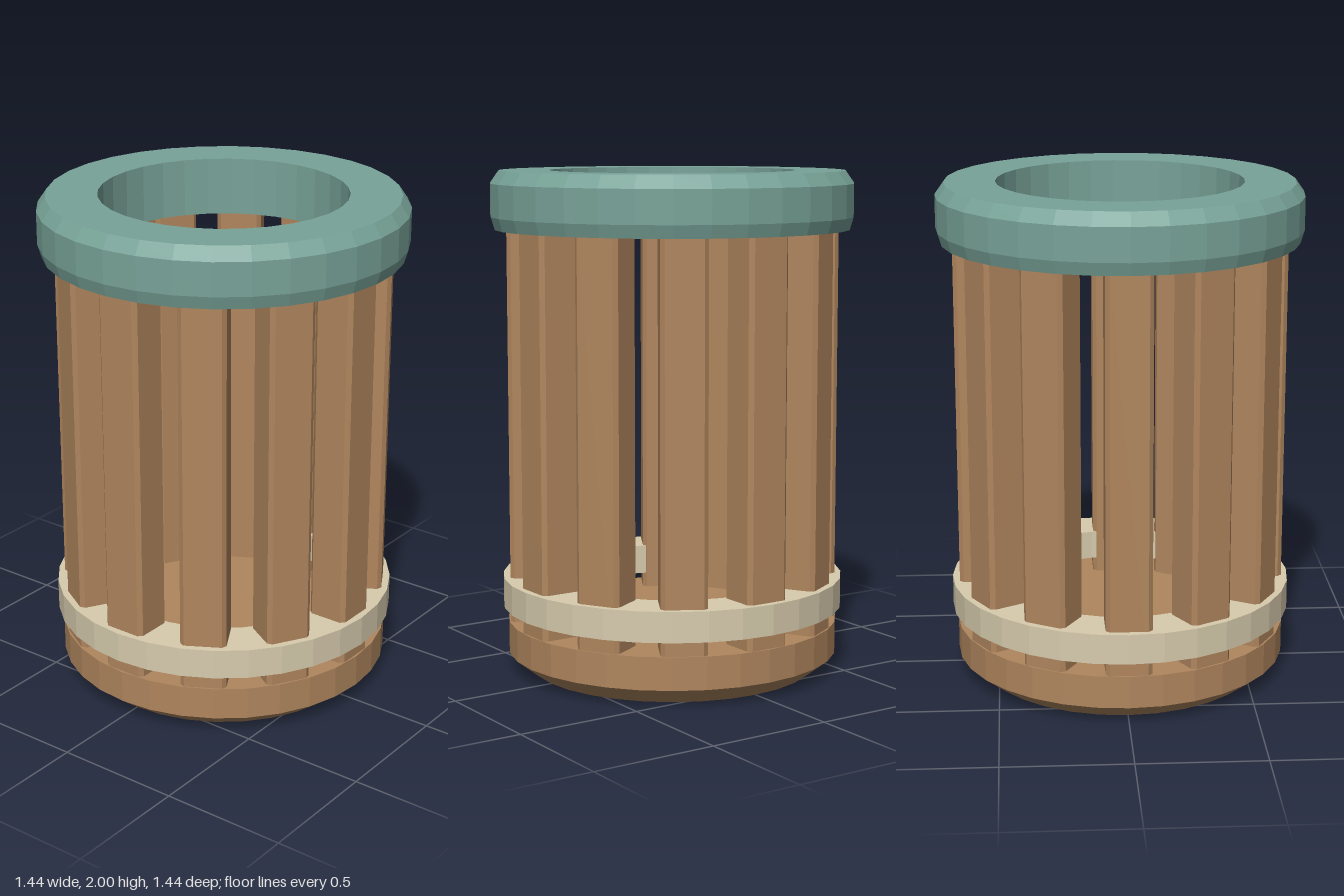
import * as THREE from 'three';

const SIDES = 32;
const SLATS = 12;

const paint = (color) => new THREE.MeshStandardMaterial({ color, flatShading: true });

// Turned part from [radius, height] points, listed bottom to top on the outside
function turned(name, points, material) {
  const profile = points.map(([r, y]) => new THREE.Vector2(r, y));
  const mesh = new THREE.Mesh(new THREE.LatheGeometry(profile, SIDES), material);
  mesh.name = name;
  return mesh;
}

// Upright slat with chamfered long edges; its outer face looks along +z
function slatGeometry(halfWidth, inner, outer, bottom, top, c) {
  const w = halfWidth;
  const outline = [
    [-w + c, -outer], [w - c, -outer], [w, -outer + c], [w, -inner - c],
    [w - c, -inner], [-w + c, -inner], [-w, -inner - c], [-w, -outer + c],
  ].map(([x, y]) => new THREE.Vector2(x, y));
  const geometry = new THREE.ExtrudeGeometry(new THREE.Shape(outline), {
    depth: top - bottom, bevelEnabled: false,
  });
  geometry.rotateX(-Math.PI / 2);
  geometry.translate(0, bottom, 0);
  return geometry;
}

export function createModel() {
  const model = new THREE.Group();
  model.name = 'slattedBasket';
  const wood = paint(0xb0865e);
  const teal = paint(0x78a398);
  const cream = paint(0xd8ccae);

  // Solid base with a bevelled foot
  model.add(turned('base', [
    [0, 0], [0.575, 0], [0.665, 0.07], [0.665, 0.2], [0, 0.2],
  ], wood));

  // Ring of slats
  const slats = new THREE.Group();
  slats.name = 'slats';
  const geometry = slatGeometry(0.09, 0.49, 0.655, 0.19, 1.79, 0.016);
  for (let i = 0; i < SLATS; i++) {
    const slat = new THREE.Mesh(geometry, wood);
    slat.name = 'slat';
    slat.rotation.y = (i / SLATS) * Math.PI * 2;
    slats.add(slat);
  }
  model.add(slats);

  // Flat band around the lower slats
  model.add(turned('band', [
    [0.5, 0.26], [0.685, 0.26], [0.685, 0.38], [0.5, 0.38], [0.5, 0.26],
  ], cream));

  // Rim with softened outer edges
  model.add(turned('rim', [
    [0.485, 1.77], [0.705, 1.77], [0.72, 1.82], [0.72, 1.95],
    [0.685, 2], [0.485, 2], [0.485, 1.77],
  ], teal));

  return model;
}
